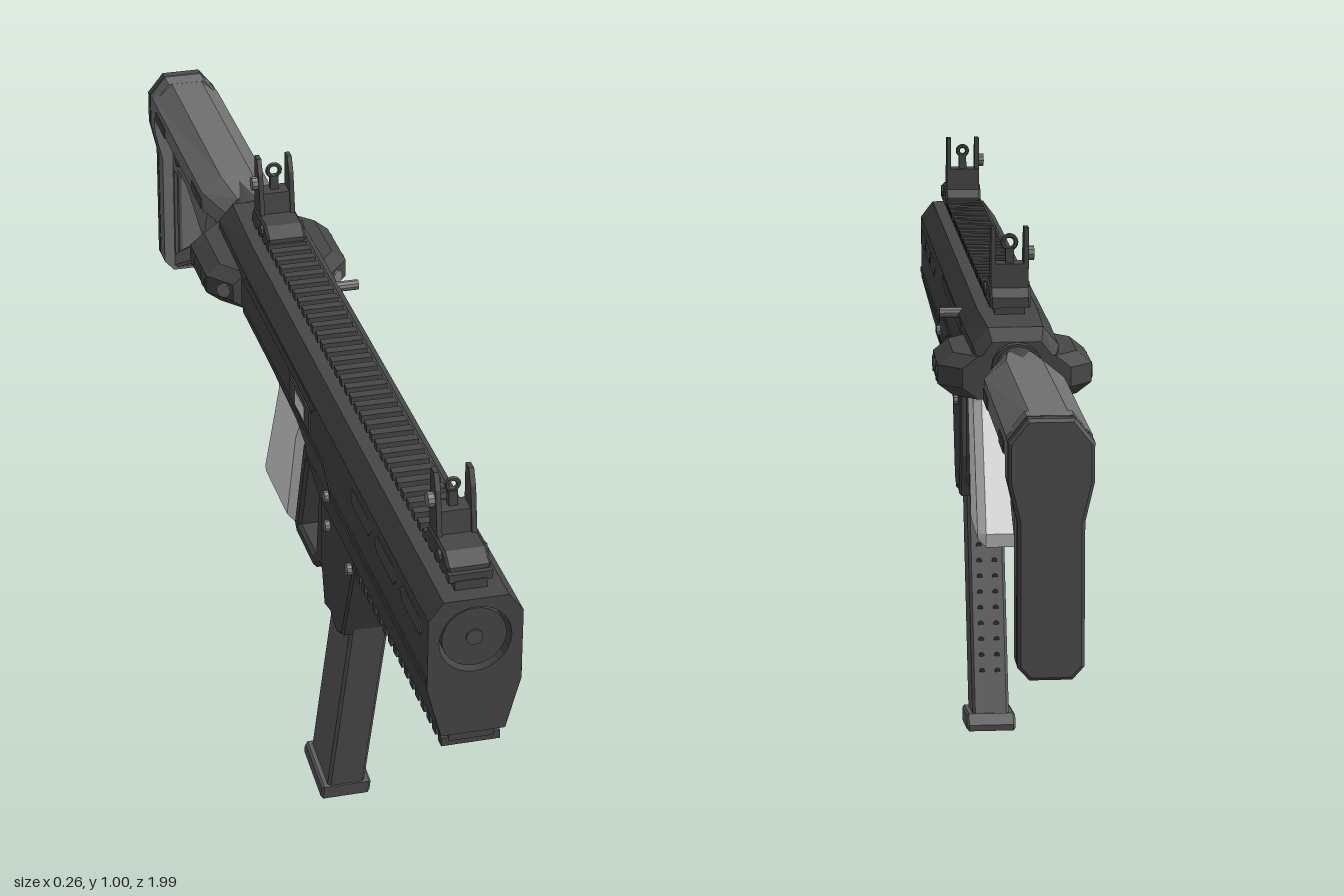
import * as THREE from 'three';

const mat = (name, color) => {
  const m = new THREE.MeshStandardMaterial({ color });
  m.name = name;
  return m;
};

export function createModel() {
  const root = new THREE.Group();
  const body = mat('charcoal', 0x474747), magGrey = mat('magazineGrey', 0x5e5e5e);
  const stockGrey = mat('stockGrey', 0x707070), light = mat('lightGrey', 0xf0f0f0);
  const padGrey = mat('padGrey', 0x4d4d4d), steel = mat('steelGrey', 0x7c7c7c);

  const add = (name, geo, material, parent = root) => {
    const g = geo.index ? geo.toNonIndexed() : geo;
    g.computeVertexNormals();
    const m = new THREE.Mesh(g, material);
    m.name = name;
    parent.add(m);
    return m;
  };
  const shapeOf = (pts, holes = []) => {
    const v = a => a.map(p => new THREE.Vector2(p[0], p[1]));
    const s = new THREE.Shape(v(pts));
    holes.forEach(h => s.holes.push(new THREE.Path(v(h))));
    return s;
  };
  const extrude = (shape, depth, b = 0) => new THREE.ExtrudeGeometry(shape, {
    depth: depth - 2 * b, bevelEnabled: b > 0, bevelThickness: b, bevelSize: b,
    bevelOffset: -b, bevelSegments: 1, curveSegments: 14,
  }).translate(0, 0, b);
  // Side profile in (z, y), centred on x
  const side = (name, pts, half, material, { holes = [], b = 0, x = 0, parent = root } = {}) =>
    add(name, extrude(shapeOf(pts, holes), half * 2, b).translate(0, 0, -half).rotateY(-Math.PI / 2).translate(x, 0, 0), material, parent);
  // Right half of a cross-section in (x, y), mirrored
  const mirror = half => [...half, ...half.slice().reverse().map(([x, y]) => [-x, y])];
  const box = (name, w, h, d, x, y, z, material, parent = root) =>
    add(name, new THREE.BoxGeometry(w, h, d).translate(x, y, z), material, parent);
  // Cylinder along x or z
  const rod = (name, r, len, axis, x, y, z, material, n = 14, parent = root) => {
    const g = new THREE.CylinderGeometry(r, r, len, n);
    if (axis === 'x') g.rotateZ(Math.PI / 2); else g.rotateX(Math.PI / 2);
    return add(name, g.translate(x, y, z), material, parent);
  };
  // Rings of equal point count joined along z, from front to back
  const loft = (name, rings, material) => {
    const pos = [];
    const tri = (...p) => p.forEach(q => pos.push(...q));
    const R = rings.map(([z, pts]) => pts.map(([x, y]) => [x, y, z]));
    const n = R[0].length, last = R[R.length - 1];
    for (let k = 0; k < R.length - 1; k++) for (let i = 0; i < n; i++) {
      const j = (i + 1) % n, a = R[k][i], b = R[k][j], c = R[k + 1][j], d = R[k + 1][i];
      tri(a, d, c); tri(a, c, b);
    }
    for (let i = 1; i < n - 1; i++) {
      tri(R[0][0], R[0][i], R[0][i + 1]);
      tri(last[0], last[i + 1], last[i]);
    }
    const g = new THREE.BufferGeometry();
    g.setAttribute('position', new THREE.Float32BufferAttribute(pos, 3));
    return add(name, g, material);
  };

  // Handguard with bored muzzle
  const guard = shapeOf(mirror([[0.05, 0.62], [0.073, 0.705], [0.073, 0.825], [0.05, 0.855]]));
  guard.holes.push(new THREE.Path().absarc(0, 0.785, 0.056, 0, Math.PI * 2, true));
  add('handguard', extrude(guard, 0.729).translate(0, 0, 0.265), body);
  rod('muzzle', 0.05, 0.72, 'z', 0, 0.785, 0.627, body, 24);
  rod('bore', 0.013, 0.004, 'z', 0, 0.785, 0.988, padGrey, 14);
  rod('muzzleBack', 0.06, 0.02, 'z', 0, 0.785, 0.3, body, 20);

  // Receiver, narrowing toward the rear
  const sec = (w, lo, t, hi) => mirror([[w - 0.02, lo], [w, lo + 0.02], [w, hi - 0.03], [t, hi]]);
  loft('receiver', [
    [0.265, sec(0.073, 0.70, 0.05, 0.855)], [0.2, sec(0.073, 0.715, 0.05, 0.855)],
    [-0.2, sec(0.073, 0.73, 0.05, 0.855)], [-0.37, sec(0.07, 0.745, 0.045, 0.855)],
    [-0.395, sec(0.062, 0.755, 0.04, 0.835)],
  ], body);

  // Side details, on both sides
  for (const s of [-1, 1]) {
    for (let i = 0; i < 3; i++) {
      const z = 0.905 - i * 0.145, e = 0.062, h = 0.015;
      side('ventSlot', [[z - e, 0.793], [z - e + h, 0.793 - h], [z + e - h, 0.793 - h], [z + e, 0.793],
        [z + e - h, 0.793 + h], [z - e + h, 0.793 + h]], 0.002, padGrey, { x: s * 0.0725 });
    }
    side('sideRib', [[0.99, 0.715], [0.43, 0.715], [0.39, 0.745], [-0.17, 0.745], [-0.17, 0.755],
      [0.385, 0.755], [0.425, 0.725], [0.99, 0.725]], 0.002, body, { x: s * 0.0725 });
    side('sidePanel', [[0.33, 0.822], [-0.15, 0.822], [-0.17, 0.805], [0.31, 0.805]], 0.002, body, { x: s * 0.0725 });
    rod('handguardPin', 0.01, 0.014, 'x', s * 0.073, 0.705, 0.41, steel, 10);
    rod('frontScrew', 0.01, 0.012, 'x', s * 0.049, 0.593, 0.46, steel, 10);
    rod('rearScrew', 0.01, 0.012, 'x', s * 0.049, 0.593, 0.32, steel, 10);

    // Sling mount wing
    const wing = w => {
      const p = [[0.04, 0.741], [w - 0.025, 0.741], [w, 0.76], [w, 0.792], [w - 0.025, 0.812], [0.04, 0.812]];
      return s > 0 ? p : p.reverse().map(([x, y]) => [-x, y]);
    };
    loft('slingMount', [[-0.185, wing(0.088)], [-0.23, wing(0.126)], [-0.355, wing(0.126)], [-0.395, wing(0.088)]], body);
    for (const z of [-0.255, -0.335]) {
      rod('mountSocket', 0.014, 0.004, 'x', s * 0.126, 0.776, z, padGrey);
    }
    const screw = rod('mountScrew', 0.013, 0.008, 'z', 0, 0, 0, steel, 12);
    screw.position.set(s * 0.101, 0.776, -0.2);
    screw.rotation.y = s * 0.7;
  }

  // Ejection port on the right, charging handle on the left
  box('ejectionPort', 0.004, 0.042, 0.13, -0.0735, 0.78, 0.23, padGrey);
  box('portBolt', 0.004, 0.026, 0.06, -0.0745, 0.778, 0.235, light);
  rod('chargingHandle', 0.009, 0.06, 'x', 0.075, 0.826, -0.07, steel, 10);

  // Top and bottom accessory rails
  box('topRailBase', 0.05, 0.02, 1.22, 0, 0.86, 0.355, body);
  for (let i = 0; i < 40; i++) box('topRailTooth', 0.068, 0.014, 0.017, 0, 0.874, 0.955 - i * 0.0308, body);
  box('bottomRailBase', 0.07, 0.022, 0.5, 0, 0.614, 0.735, body);
  for (let i = 0; i < 16; i++) box('bottomRailTooth', 0.092, 0.014, 0.018, 0, 0.601, 0.974 - i * 0.0315, body);

  // Folding sights
  const sight = (name, z, ring) => {
    const g = new THREE.Group();
    g.name = name;
    g.position.z = z;
    root.add(g);
    side('sightBase', [[0.06, 0.868], [0.06, 0.888], [0.035, 0.903], [-0.045, 0.903], [-0.06, 0.885], [-0.06, 0.868]], 0.034, body, { b: 0.004, parent: g });
    side('sightNeck', [[-0.01, 0.9], [-0.015, 0.94], [-0.05, 0.94], [-0.05, 0.9]], 0.03, body, { parent: g });
    for (const s of [-1, 1]) side('sightEar', [[-0.005, 0.9], [-0.018, 0.975], [-0.03, 1], [-0.048, 1], [-0.048, 0.9]],
      0.004, body, { x: s * 0.027, parent: g });
    add('sightRing', new THREE.TorusGeometry(ring, 0.004, 6, 14).translate(0, 0.974, -0.035), body, g);
    box('sightPost', 0.014, 0.03, 0.012, 0, 0.95, -0.035, body, g);
    rod('sightKnob', 0.012, 0.014, 'x', -0.034, 0.955, -0.03, steel, 10, g);
    rod('sightClampScrew', 0.011, 0.076, 'x', 0, 0.888, 0.02, body, 10, g);
  };
  sight('frontSight', 0.895, 0.009);
  sight('rearSight', -0.21, 0.011);

  // Magazine well and forward frame
  side('magazineWell', [[0.48, 0.64], [0.48, 0.61], [0.405, 0.43], [0.37, 0.415], [0.33, 0.43], [0.29, 0.42],
    [0.265, 0.50], [0.265, 0.72], [0.48, 0.72]], 0.047, body, { b: 0.004 });
  side('forwardFrame', [[0.36, 0.71], [0.265, 0.71], [0.25, 0.63], [0.10, 0.63], [0.035, 0.435], [0.05, 0.42],
    [0.17, 0.42], [0.21, 0.45], [0.3, 0.44]], 0.035, body,
  { holes: [[[0.205, 0.60], [0.12, 0.60], [0.066, 0.445], [0.165, 0.445], [0.185, 0.465]]], b: 0.006 });

  // Magazine with witness holes down the back
  side('magazine', [[0.43, 0.5], [0.315, 0.5], [0.147, 0.03], [0.26, 0.01]], 0.033, magGrey, { b: 0.005 });
  side('magazineBase', [[0.27, 0.03], [0.26, 0], [0.14, 0.018], [0.137, 0.03], [0.15, 0.048]], 0.044, magGrey, { b: 0.004 });
  for (const s of [-1, 1]) {
    for (let i = 0; i < 11; i++) {
      const y = 0.12 + i * 0.027;
      const hole = rod('witnessHole', 0.005, 0.003, 'z', 0, 0, 0, body, 8);
      hole.position.set(s * 0.014, y, 0.147 + (y - 0.03) * 0.3574);
      hole.rotation.x = -0.343;
    }
  }

  // Pistol grip, trigger guard and trigger
  side('triggerGuard', [[0.265, 0.715], [0.05, 0.735], [0.05, 0.615], [0.11, 0.62], [0.235, 0.628], [0.262, 0.645]], 0.03, light,
    { holes: [[[0.245, 0.69], [0.235, 0.7], [0.13, 0.71], [0.115, 0.67], [0.14, 0.645], [0.235, 0.645]]], b: 0.004 });
  side('grip', [[0.12, 0.735], [-0.03, 0.735], [-0.045, 0.665], [-0.148, 0.455], [-0.14, 0.43], [0.035, 0.43],
    [0.1, 0.625], [0.125, 0.66]], 0.045, light, { b: 0.014 });
  side('trigger', [[0.19, 0.715], [0.16, 0.715], [0.155, 0.68], [0.17, 0.65], [0.18, 0.65], [0.172, 0.68]], 0.012, light);

  // Stock
  rod('bufferTube', 0.038, 0.14, 'z', 0, 0.793, -0.44, body, 16);
  rod('bufferCollar', 0.042, 0.02, 'z', 0, 0.793, -0.405, body, 16);
  const cheek = (w, hi) => mirror([[w * 0.6, 0.752], [w, 0.77], [w, 0.803], [w * 0.45, hi]]);
  loft('stockTube', [[-0.442, cheek(0.042, 0.828)], [-0.53, cheek(0.064, 0.832)], [-0.96, cheek(0.064, 0.836)]], stockGrey);
  side('stockFrame', [[-0.445, 0.77], [-0.445, 0.69], [-0.60, 0.69], [-0.635, 0.615], [-0.94, 0.445], [-0.97, 0.445], [-0.97, 0.77]],
    0.03, stockGrey, {
      holes: [[[-0.685, 0.632], [-0.82, 0.672], [-0.89, 0.672], [-0.89, 0.508]],
        [[-0.62, 0.742], [-0.845, 0.742], [-0.82, 0.705], [-0.77, 0.7]],
        [[-0.912, 0.655], [-0.928, 0.655], [-0.928, 0.485], [-0.912, 0.495]]],
      b: 0.005,
    });
  side('stockLever', [[-0.45, 0.735], [-0.45, 0.69], [-0.6, 0.69], [-0.62, 0.655], [-0.645, 0.64], [-0.66, 0.655], [-0.63, 0.72], [-0.6, 0.735]], 0.034, stockGrey, { b: 0.005 });
  for (const s of [-1, 1]) {
    for (const z of [-0.575, -0.885]) box('stockSlot', 0.004, 0.02, 0.08, s * 0.0635, 0.779, z, body);
    rod('stockSocket', 0.016, 0.008, 'x', s * 0.031, 0.705, -0.885, padGrey, 12);
  }
  const pad = mirror([[0.032, 0.44], [0.05, 0.46], [0.05, 0.68], [0.064, 0.74], [0.064, 0.8], [0.035, 0.836]]);
  add('buttPlate', extrude(shapeOf(pad), 0.035).translate(0, 0, -0.975), stockGrey);
  add('buttPad', extrude(shapeOf(pad), 0.026, 0.005).translate(0, 0, -1), padGrey);

  return root;
}
